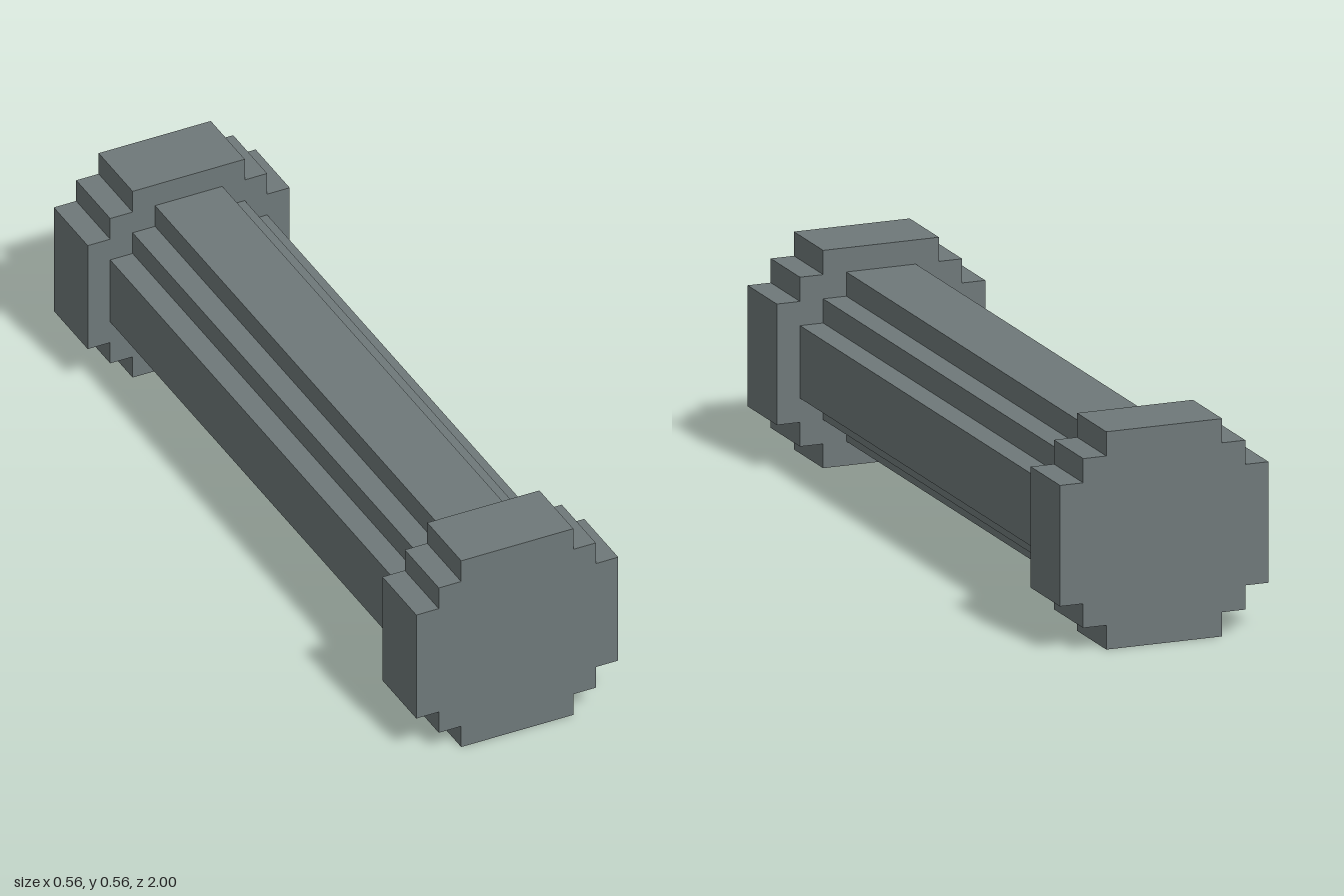
import * as THREE from 'three';

const U = 1 / 16; // step size of the blocky outline

// Plus-like rounded outline: two stair steps in every corner
function steppedShape(half) {
  const a = half, b = half - U, c = half - 2 * U;
  const quarter = [[a, c], [b, c], [b, b], [c, b], [c, a]];
  const points = [];
  for (let q = 0; q < 4; q++) {
    for (const [px, py] of quarter) {
      let x = px, y = py;
      for (let i = 0; i < q; i++) [x, y] = [-y, x];
      points.push(new THREE.Vector2(x, y));
    }
    // outer corner of the middle step is already in the quarter list
  }
  return new THREE.Shape(points);
}

export function createModel() {
  const group = new THREE.Group();
  group.name = 'column';
  const stone = new THREE.MeshStandardMaterial({ color: 0x6e7879 });
  stone.name = 'grey stone';

  const centreY = 4.5 * U;
  const capDepth = 3 * U;

  function addPart(name, half, z, depth) {
    const geometry = new THREE.ExtrudeGeometry(steppedShape(half), { depth, bevelEnabled: false });
    const mesh = new THREE.Mesh(geometry, stone);
    mesh.name = name;
    mesh.position.set(0, centreY, z);
    group.add(mesh);
  }

  // Long fluted shaft between two wider end caps
  addPart('shaft', 3.5 * U, -1 + capDepth, 2 - 2 * capDepth);
  addPart('frontCap', 4.5 * U, 1 - capDepth, capDepth);
  addPart('backCap', 4.5 * U, -1, capDepth);

  return group;
}
